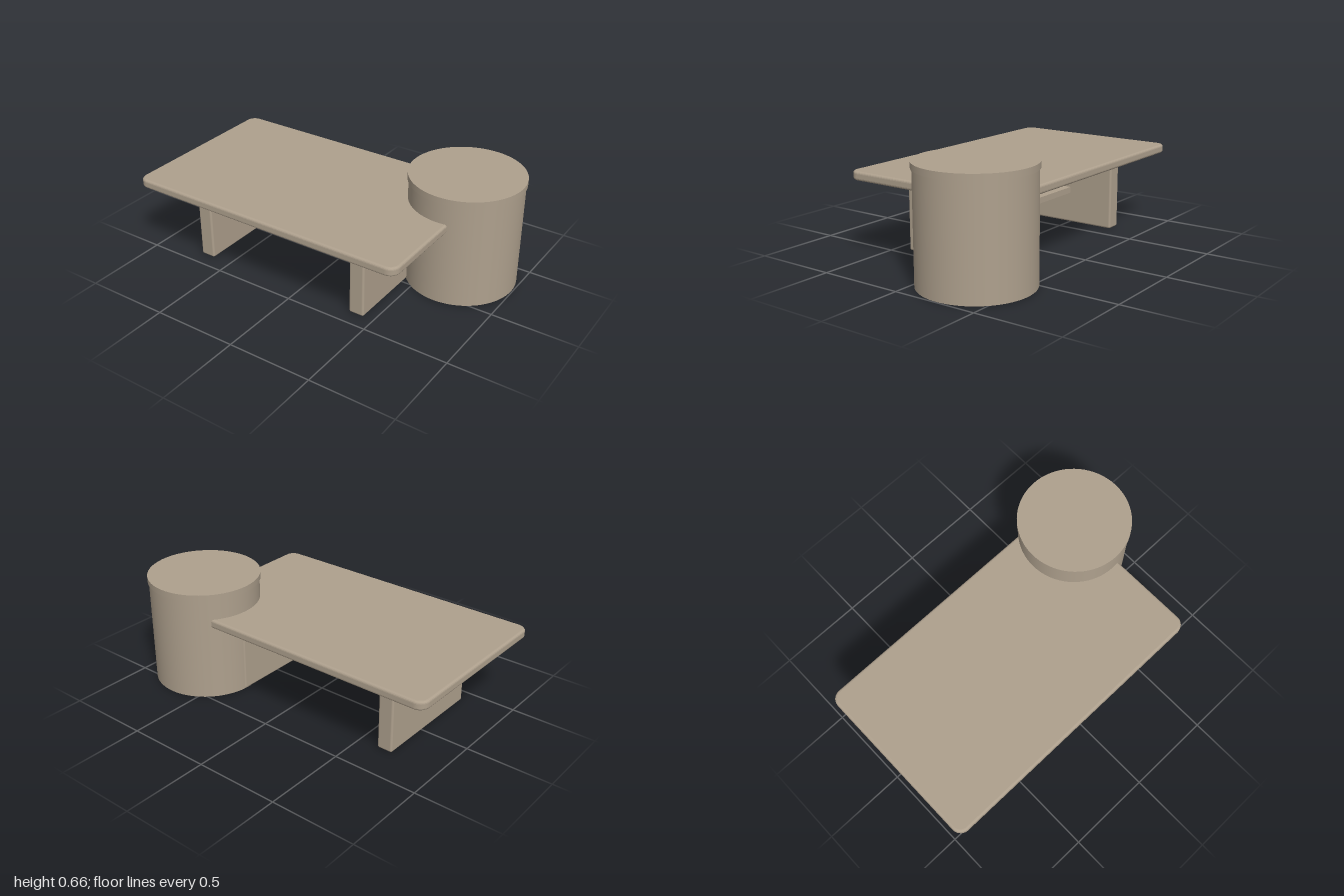
import * as THREE from 'three';
import { RoundedBoxGeometry } from 'three/addons/geometries/RoundedBoxGeometry.js';

const warmTaupe = new THREE.MeshStandardMaterial({ color: 0xaea08d });
warmTaupe.name = 'warmTaupe';

function add(group, name, geometry, x, y, z) {
  const mesh = new THREE.Mesh(geometry, warmTaupe);
  mesh.name = name;
  mesh.position.set(x, y, z);
  group.add(mesh);
  return mesh;
}

// Rectangle with rounded corners, centred on the origin
function roundedRect(w, d, r) {
  const x = w / 2 - r, y = d / 2 - r, s = new THREE.Shape();
  s.absarc(x, y, r, 0, Math.PI / 2);
  s.absarc(-x, y, r, Math.PI / 2, Math.PI);
  s.absarc(-x, -y, r, Math.PI, Math.PI * 1.5);
  s.absarc(x, -y, r, Math.PI * 1.5, Math.PI * 2);
  s.closePath();
  return s;
}

export function createModel() {
  const table = new THREE.Group();
  table.name = 'coffeeTable';
  const midZ = 0.06;

  // Table top: rounded corners in plan and softened edges
  const bevel = 0.014, thickness = 0.052;
  const topGeometry = new THREE.ExtrudeGeometry(
    roundedRect(1.725 - 2 * bevel, 1.05 - 2 * bevel, 0.06 - bevel),
    { depth: thickness - 2 * bevel, bevelSize: bevel, bevelThickness: bevel, bevelSegments: 4, curveSegments: 10 }
  );
  topGeometry.rotateX(-Math.PI / 2);
  add(table, 'tableTop', topGeometry, -0.1375, 0.447 + bevel, midZ);

  // Panel legs
  for (const [name, x] of [['rightLeg', -0.665], ['leftLeg', 0.392]]) {
    add(table, name, new RoundedBoxGeometry(0.093, 0.45, 0.705, 3, 0.012), x, 0.225, midZ);
  }

  // Stretcher between the legs
  add(table, 'stretcher', new THREE.BoxGeometry(1.0, 0.037, 0.125), -0.137, 0.208, midZ);

  // Drum at the back corner, with a slightly wider lid
  add(table, 'drum', new THREE.CylinderGeometry(0.321, 0.321, 0.63, 72), 0.672, 0.315, -0.262);
  add(table, 'drumLid', new THREE.CylinderGeometry(0.328, 0.328, 0.036, 72), 0.672, 0.638, -0.262);

  return table;
}
